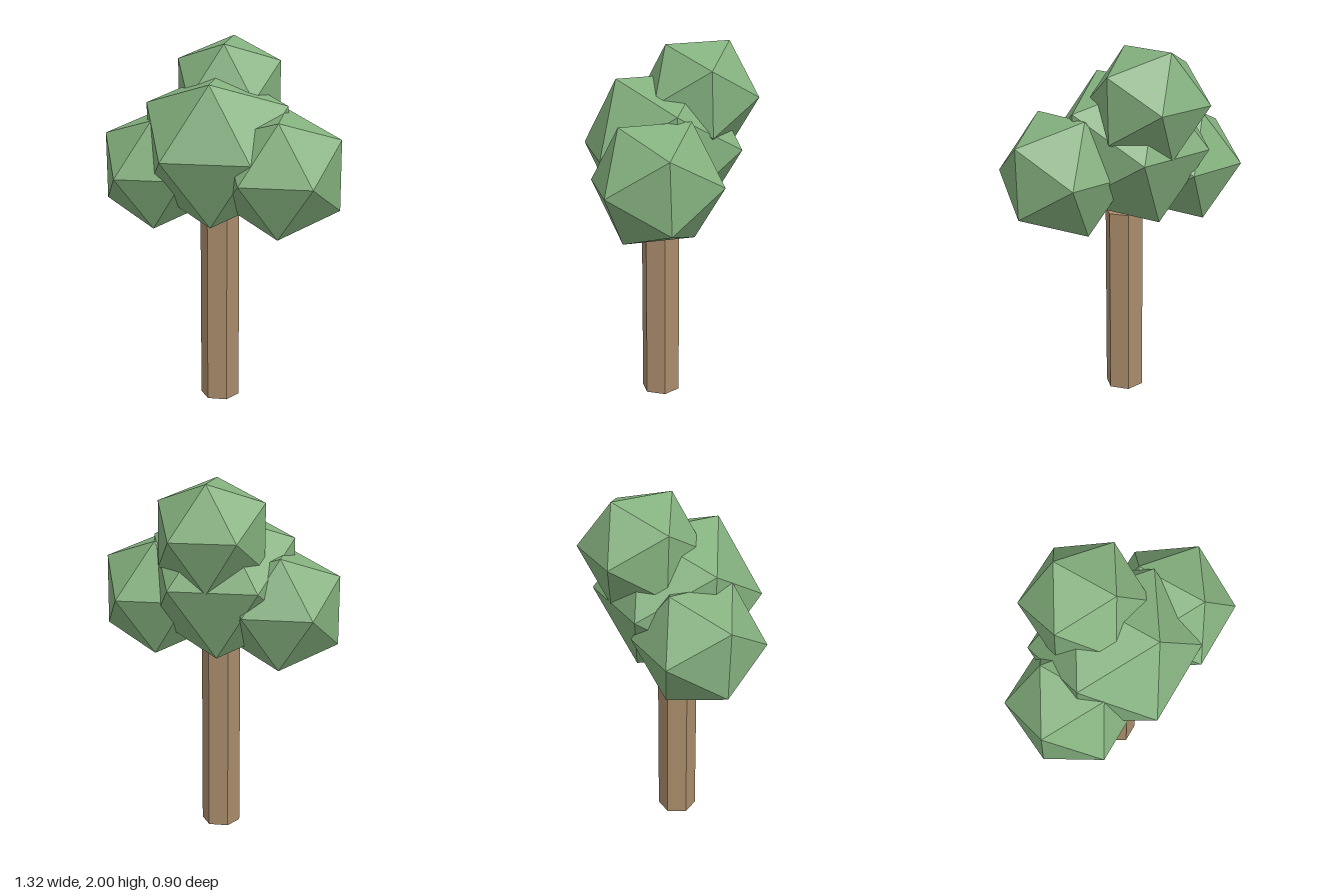
import * as THREE from 'three';

export function createModel() {
  const tree = new THREE.Group();
  tree.name = 'tree';

  const leafGreen = new THREE.MeshStandardMaterial({ color: 0x84b07e, flatShading: true });
  leafGreen.name = 'leaf green';
  const barkBrown = new THREE.MeshStandardMaterial({ color: 0xa98c6b, flatShading: true });
  barkBrown.name = 'bark brown';

  // Six-sided trunk with a flat side to the front
  const trunkHeight = 1.065;
  const trunkShape = new THREE.CylinderGeometry(0.108, 0.108, trunkHeight, 6);
  trunkShape.rotateY(Math.PI / 6);
  const trunk = new THREE.Mesh(trunkShape, barkBrown);
  trunk.name = 'trunk';
  trunk.position.set(-0.008, trunkHeight / 2, 0.04);
  tree.add(trunk);

  // Leaf clumps: icosahedra on their side, tipped slightly forward
  const clumps = [
    // name, half width, centre x, y, z
    ['middleLeaves', 0.386, -0.025, 1.433, 0.028],
    ['topLeaves', 0.285, 0.01, 1.711, -0.169],
    ['leftLeaves', 0.312, 0.344, 1.327, 0.138],
    ['rightLeaves', 0.301, -0.36, 1.298, -0.035],
  ];
  for (const [name, halfWidth, x, y, z] of clumps) {
    const shape = new THREE.IcosahedronGeometry(halfWidth * 1.1756, 0);
    shape.rotateZ(Math.PI / 2);
    shape.rotateX(0.03);
    const clump = new THREE.Mesh(shape, leafGreen);
    clump.name = name;
    clump.position.set(x, y, z);
    tree.add(clump);
  }

  return tree;
}
